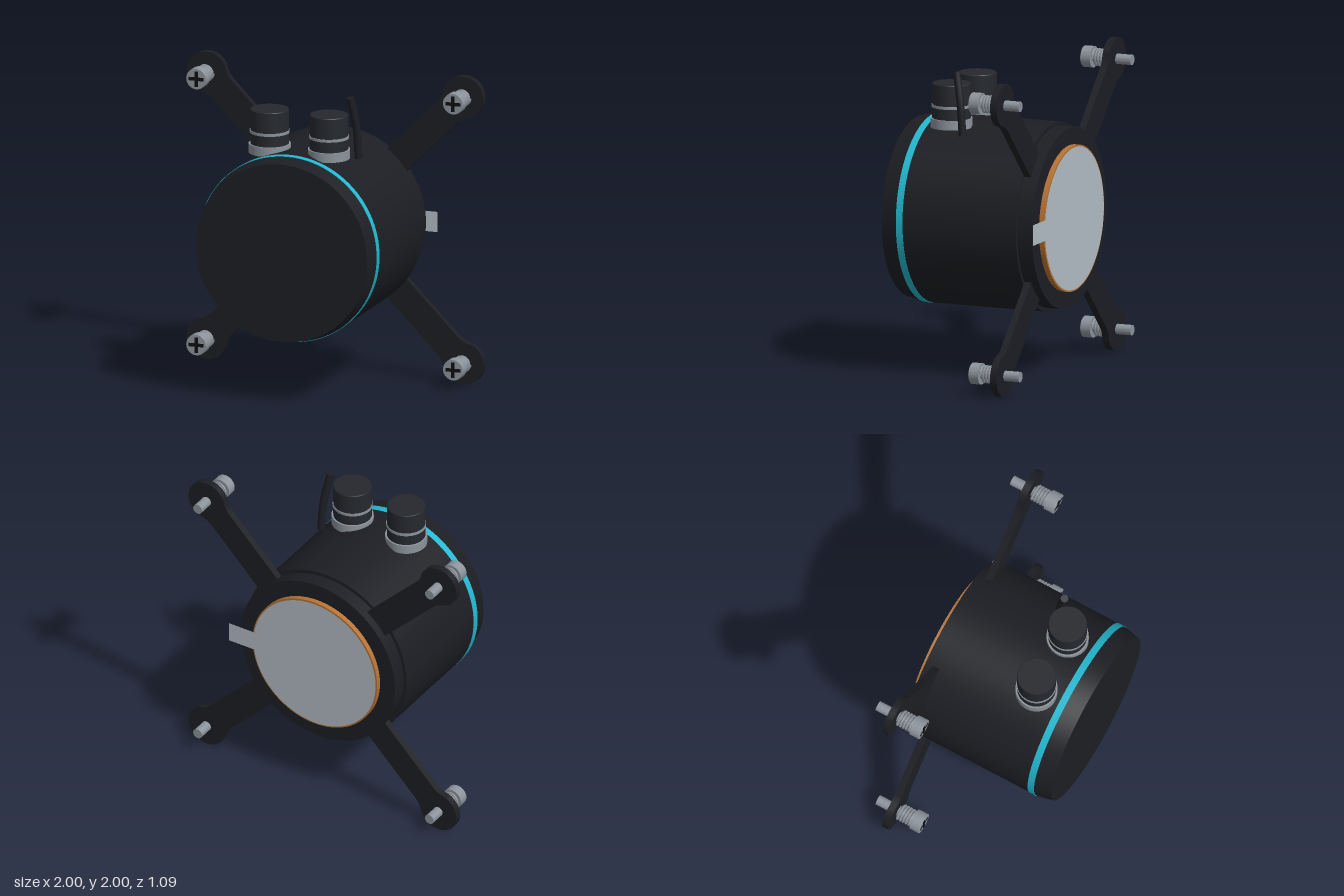
import * as THREE from 'three';
import { toCreasedNormals } from 'three/addons/utils/BufferGeometryUtils.js';

const mat = (color, side = THREE.FrontSide) => new THREE.MeshStandardMaterial({ color, side });
const dark = mat(0x1c1e23), capDark = mat(0x25282d), black = mat(0x0e0f11);
const teal = mat(0x22b8d0), copper = mat(0xb87333), metal = mat(0x8c939b);
const film = mat(0xb4bdc6, THREE.DoubleSide);

function add(parent, name, geometry, material, x = 0, y = 0, z = 0) {
  const mesh = new THREE.Mesh(geometry, material);
  mesh.name = name;
  mesh.position.set(x, y, z);
  parent.add(mesh);
  return mesh;
}

// Solid of revolution from [radius, height] pairs, with crisp edges
function turned(profile, segments) {
  const points = profile.map(([r, h]) => new THREE.Vector2(r, h));
  return toCreasedNormals(new THREE.LatheGeometry(points, segments), 0.4);
}

// Same, with its axis along z (height becomes z)
const turnedZ = (profile, segments) => turned(profile, segments).rotateX(Math.PI / 2);
const disc = (r, a, b) => [[0, a], [r, a], [r, b], [0, b]];

// Tapering outline of one mounting arm, lying along +x from the hub
function armGeometry() {
  const hubR = 0.575, half = 0.093, end = 1.223, headR = 0.135;
  const root = Math.asin(half / hubR), join = 1.95;
  const jx = end + headR * Math.cos(join), jy = headR * Math.sin(join);
  const s = new THREE.Shape();
  s.moveTo(hubR * Math.cos(root), -half);
  s.lineTo(1.08, -half);
  s.quadraticCurveTo(1.12, -half, jx, -jy);
  s.absarc(end, 0, headR, -join, join, false);
  s.quadraticCurveTo(1.12, half, 1.08, half);
  s.lineTo(hubR * Math.cos(root), half);
  s.absarc(0, 0, hubR, root, -root, true);
  const g = new THREE.ExtrudeGeometry(s, { depth: 0.045, bevelEnabled: false, curveSegments: 28 });
  return toCreasedNormals(g, 0.5);
}

// Helical compression spring along z
function springGeometry(z0, z1, radius, turns) {
  const points = [];
  for (let i = 0; i <= turns * 14; i++) {
    const t = i / (turns * 14), a = t * turns * Math.PI * 2;
    points.push(new THREE.Vector3(radius * Math.cos(a), radius * Math.sin(a), z0 + (z1 - z0) * t));
  }
  return new THREE.TubeGeometry(new THREE.CatmullRomCurve3(points), turns * 20, 0.0085, 6);
}

// Spring-loaded screw with a cross recess
function createScrew() {
  const screw = new THREE.Group();
  screw.name = 'mountingScrew';
  add(screw, 'screwShank', turnedZ(disc(0.033, -0.54, -0.25), 24), metal);
  add(screw, 'screwHead', turnedZ([[0, -0.277], [0.068, -0.277], [0.068, -0.213], [0.066, -0.21], [0, -0.21]], 32), metal);
  add(screw, 'crossSlotAcross', new THREE.BoxGeometry(0.1, 0.022, 0.01), black, 0, 0, -0.213);
  add(screw, 'crossSlotUpright', new THREE.BoxGeometry(0.022, 0.1, 0.01), black, 0, 0, -0.213);
  add(screw, 'spring', springGeometry(-0.283, -0.385, 0.05, 5), metal);
  return screw;
}

// Hose fitting: collar, plug and retaining band
function createFitting() {
  const fitting = new THREE.Group();
  fitting.name = 'hoseFitting';
  add(fitting, 'collar', turned(disc(0.133, 1.563, 1.623), 48), metal);
  add(fitting, 'plug', turned([[0, 1.6], [0.122, 1.6], [0.122, 1.84], [0.119, 1.845], [0, 1.845]], 48), capDark);
  add(fitting, 'band', turned(disc(0.126, 1.693, 1.711), 48), metal);
  return fitting;
}

export function createModel() {
  const model = new THREE.Group();
  model.name = 'pumpBlock';

  // Main housing, stacked along z
  const housing = new THREE.Group();
  housing.name = 'housing';
  housing.position.y = 1;
  model.add(housing);
  add(housing, 'barrel', turnedZ(disc(0.6, -0.39, 0.39), 96), dark);
  add(housing, 'accentRing', turnedZ(disc(0.602, 0.39, 0.435), 96), teal);
  add(housing, 'frontCap', turnedZ([[0, 0.43], [0.6, 0.43], [0.576, 0.545], [0, 0.545]], 96), dark);
  add(housing, 'rearFlange', turnedZ(disc(0.576, -0.49, -0.38), 96), dark);
  add(housing, 'contactPlate', turnedZ(disc(0.465, -0.523, -0.48), 96), copper);

  // Thin protective film with a pull tab
  const tab = 0.066, filmR = 0.455, a = Math.asin(tab / filmR);
  const outline = new THREE.Shape();
  outline.absarc(0, 0, filmR, a, Math.PI * 2 - a, false);
  outline.lineTo(0.64, -tab);
  outline.lineTo(0.64, tab);
  add(housing, 'protectiveFilm', new THREE.ShapeGeometry(outline, 64), film, 0, 0, -0.526);

  // Four diagonal arms, each carrying a screw
  const arm = armGeometry();
  for (let i = 0; i < 4; i++) {
    const angle = Math.PI / 4 + i * Math.PI / 2;
    add(housing, 'mountingArm', arm, dark, 0, 0, -0.436).rotation.z = angle;
    const screw = createScrew();
    screw.position.set(1.223 * Math.cos(angle), 1.223 * Math.sin(angle), 0);
    housing.add(screw);
  }

  // Pair of fittings on top
  for (const x of [-0.2, 0.2]) {
    const fitting = createFitting();
    fitting.position.set(x, 0, 0.23);
    model.add(fitting);
  }

  // Curved cable stub beside the left fitting
  const path = new THREE.CatmullRomCurve3([
    new THREE.Vector3(0.345, 1.54, 0.09),
    new THREE.Vector3(0.338, 1.74, 0.108),
    new THREE.Vector3(0.31, 1.94, 0.146),
  ]);
  add(model, 'cable', new THREE.TubeGeometry(path, 24, 0.025, 14), dark);
  for (const t of [0, 1]) {
    const p = path.getPoint(t), out = path.getTangent(t).multiplyScalar(t ? 1 : -1);
    const end = add(model, 'cableEnd', new THREE.CircleGeometry(0.025, 14), dark, p.x, p.y, p.z);
    end.quaternion.setFromUnitVectors(new THREE.Vector3(0, 0, 1), out);
  }
  return model;
}
